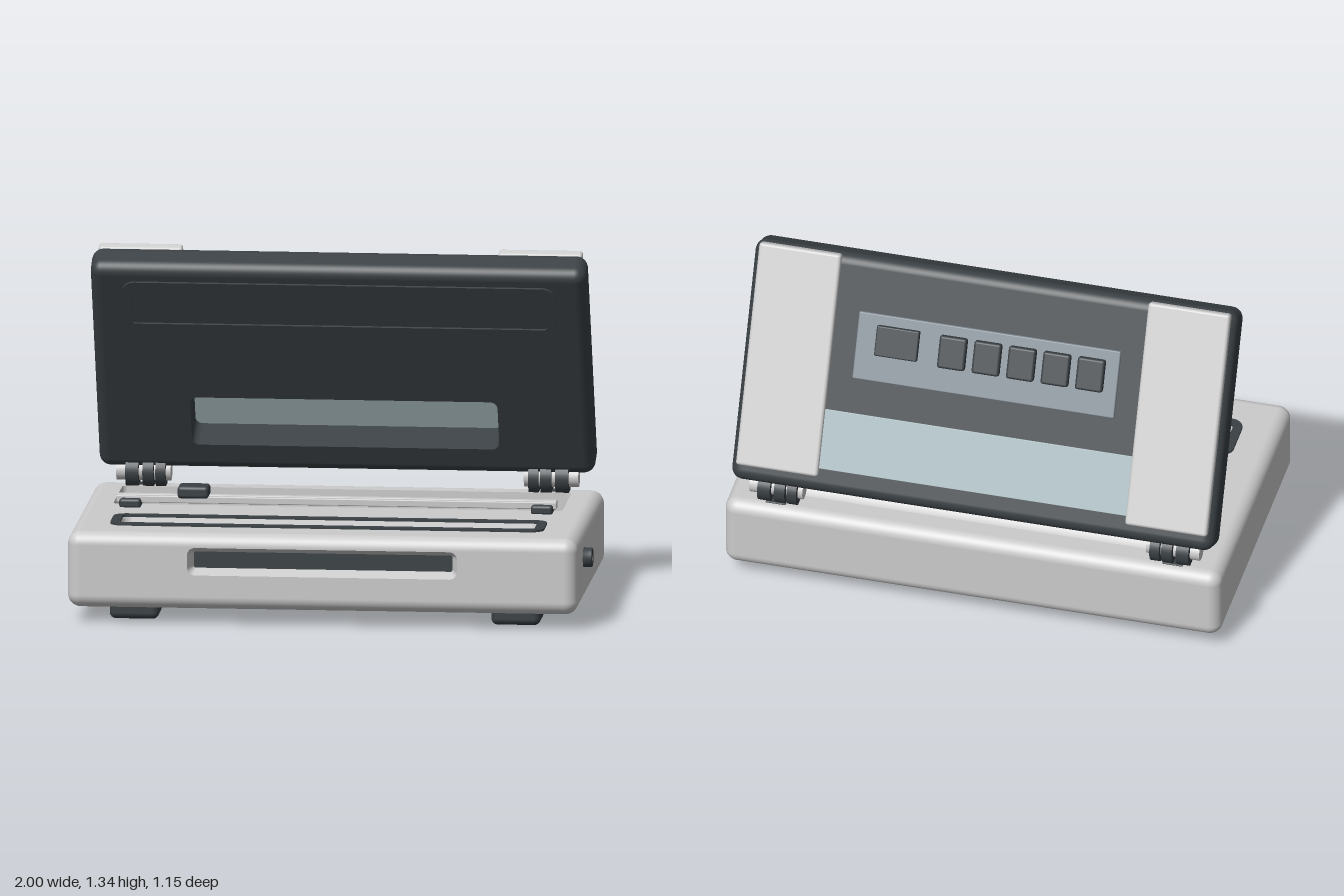
import * as THREE from 'three';
import { RoundedBoxGeometry } from 'three/addons/geometries/RoundedBoxGeometry.js';

const mat = (color) => new THREE.MeshStandardMaterial({ color, side: THREE.DoubleSide });
const grey = mat(0xcccccc);
const dark = mat(0x3a4044);
const glass = mat(0xa8babe);
const panelGrey = mat(0x858f98);

function add(parent, name, geometry, material, x = 0, y = 0, z = 0) {
  const mesh = new THREE.Mesh(geometry, material);
  mesh.name = name;
  mesh.position.set(x, y, z);
  parent.add(mesh);
  return mesh;
}

function group(parent, name) {
  const g = new THREE.Group();
  g.name = name;
  parent.add(g);
  return g;
}

// Rounded block given by its limits
function block(parent, name, material, [x0, x1], [y0, y1], [z0, z1], r = 0.01) {
  const geo = new RoundedBoxGeometry(x1 - x0, y1 - y0, z1 - z0, 3, r);
  return add(parent, name, geo, material, (x0 + x1) / 2, (y0 + y1) / 2, (z0 + z1) / 2);
}

// Rounded rectangle outline, inset by i
function roundRect(Type, [x0, x1], [y0, y1], r, i = 0) {
  const a = x0 + i, b = x1 - i, c = y0 + i, d = y1 - i, q = Math.max(r - i, 0.004);
  const s = new Type();
  s.absarc(b - q, c + q, q, -Math.PI / 2, 0);
  s.absarc(b - q, d - q, q, 0, Math.PI / 2);
  s.absarc(a + q, d - q, q, Math.PI / 2, Math.PI);
  s.absarc(a + q, c + q, q, Math.PI, Math.PI * 1.5);
  s.closePath();
  return s;
}

// Rounded box whose flat +y and/or +z face is left out
function openBox(w, h, d, r, axes) {
  const src = new RoundedBoxGeometry(w, h, d, 5, r);
  const p = src.attributes.position, n = src.attributes.normal;
  const pos = [], nor = [];
  for (let t = 0; t < p.count; t += 3) {
    const ids = [t, t + 1, t + 2];
    const isFlat = (get) => ids.every((k) => n[get](k) > 0.999);
    if ((axes.includes('y') && isFlat('getY')) || (axes.includes('z') && isFlat('getZ'))) continue;
    for (const k of ids) {
      pos.push(p.getX(k), p.getY(k), p.getZ(k));
      nor.push(n.getX(k), n.getY(k), n.getZ(k));
    }
  }
  const g = new THREE.BufferGeometry();
  g.setAttribute('position', new THREE.Float32BufferAttribute(pos, 3));
  g.setAttribute('normal', new THREE.Float32BufferAttribute(nor, 3));
  return g;
}

// Flat plate in xy with recesses sunk towards -z
function recessedFace(parent, name, material, xs, ys, recesses) {
  const g = group(parent, name);
  const face = new THREE.Shape();
  face.moveTo(xs[0], ys[0]).lineTo(xs[1], ys[0]).lineTo(xs[1], ys[1]).lineTo(xs[0], ys[1]).closePath();
  for (const { name: label, x, y, r, depth, taper, floor } of recesses) {
    face.holes.push(roundRect(THREE.Path, x, y, r));
    const top = roundRect(THREE.Shape, x, y, r).getPoints(6);
    const low = roundRect(THREE.Shape, x, y, r, taper).getPoints(6);
    const v = [];
    for (let i = 0; i < top.length; i++) {
      const j = (i + 1) % top.length;
      const A = [top[i].x, top[i].y, 0], B = [top[j].x, top[j].y, 0];
      const C = [low[j].x, low[j].y, -depth], D = [low[i].x, low[i].y, -depth];
      v.push(...A, ...B, ...C, ...A, ...C, ...D);
    }
    const wall = new THREE.BufferGeometry();
    wall.setAttribute('position', new THREE.Float32BufferAttribute(v, 3));
    wall.computeVertexNormals();
    add(g, label + 'Wall', wall, material);
    add(g, label + 'Floor', new THREE.ShapeGeometry(roundRect(THREE.Shape, x, y, r, taper), 6), floor, 0, 0, -depth);
  }
  add(g, name + 'Plate', new THREE.ShapeGeometry(face, 6), material);
  return g;
}

// Flat gasket ring in xy
function gasket(parent, name, xs, ys, width, depth) {
  const s = roundRect(THREE.Shape, xs, ys, 0.05);
  s.holes.push(roundRect(THREE.Path, xs, ys, 0.05, width));
  const geo = new THREE.ExtrudeGeometry(s, { depth, bevelEnabled: false, curveSegments: 6 });
  return add(parent, name, geo, dark);
}

function buildBase(model) {
  const base = group(model, 'base');
  const R = 0.05, W = 0.9825, y0 = 0.06, y1 = 0.355, z0 = -0.57, z1 = 0.575;
  add(base, 'baseShell', openBox(2 * W, y1 - y0, z1 - z0, R, 'yz'), grey, 0, (y0 + y1) / 2, (z0 + z1) / 2);

  // Top deck: roll compartment and sealing channel (shape y = -z)
  const deck = recessedFace(base, 'topDeck', grey, [-W + R, W - R], [-z1 + R, -z0 - R], [
    { name: 'rollCompartment', x: [-0.865, 0.865], y: [0.065, 0.455], r: 0.02, depth: 0.265, taper: 0.005, floor: grey },
    { name: 'vacuumChannel', x: [-0.8, 0.8], y: [-0.372, -0.223], r: 0.035, depth: 0.045, taper: 0.012, floor: grey },
  ]);
  deck.rotation.x = -Math.PI / 2;
  deck.position.y = y1;
  gasket(deck, 'baseGasket', [-0.835, 0.835], [-0.41, -0.185], 0.036, 0.008);

  // Front grip slot
  const front = recessedFace(base, 'frontFace', grey, [-W + R, W - R], [y0 + R, y1 - R], [
    { name: 'gripSlot', x: [-0.52, 0.52], y: [0.195, 0.302], r: 0.03, depth: 0.05, taper: 0.022, floor: dark },
  ]);
  front.position.z = z1;

  // Film roll lying in the compartment
  add(base, 'filmRoll', new THREE.CylinderGeometry(0.105, 0.105, 1.65, 40).rotateZ(Math.PI / 2), grey, 0, 0.2, -0.22);

  // Feet
  for (const s of [-1, 1])
    for (const z of [0.383, -0.383])
      block(base, 'foot', dark, [s * 0.735 - 0.095, s * 0.735 + 0.095], [0, 0.1], [z - 0.082, z + 0.082], 0.025);

  // Hollow port on the model's left side
  const ring = [[0.02, 0], [0.038, 0], [0.038, 0.031], [0.034, 0.035], [0.024, 0.035], [0.02, 0.031], [0.02, 0]];
  const port = new THREE.LatheGeometry(ring.map(([a, b]) => new THREE.Vector2(a, b)), 32).rotateZ(-Math.PI / 2);
  add(base, 'sidePort', port, dark, W, 0.243, 0.303);
}

function buildCutter(model) {
  const cutter = group(model, 'filmCutter');
  block(cutter, 'cutterRail', grey, [-0.848, 0.848], [0.37, 0.397], [-0.056, -0.01], 0.004);
  block(cutter, 'railRidge', grey, [-0.848, 0.848], [0.39, 0.402], [-0.05, -0.018], 0.004);
  for (const s of [-1, 1])
    block(cutter, 'railClip', dark, [s * 0.793 - 0.042, s * 0.793 + 0.042], [0.35, 0.388], [-0.077, 0.015], 0.012);
  block(cutter, 'cutterSlider', dark, [-0.61, -0.49], [0.392, 0.44], [-0.076, 0.018], 0.014);
}

function buildHinges(model) {
  const along = (r, len) => new THREE.CylinderGeometry(r, r, len, 32).rotateZ(Math.PI / 2);
  for (const s of [-1, 1]) {
    const hinge = group(model, 'hinge');
    add(hinge, 'hingePin', along(0.038, 0.21), grey, s * 0.785, 0.411, -0.488);
    for (const [x, len] of [[0.828, 0.05], [0.766, 0.042], [0.718, 0.038]])
      add(hinge, 'hingeKnuckle', along(0.063, len), dark, s * x, 0.411, -0.488);
    block(hinge, 'hingePlate', dark, [s * 0.785 - 0.04, s * 0.785 + 0.04], [0.345, 0.359], [-0.53, -0.475], 0.004);
  }
}

// Lid in its own tilted frame: y runs up the lid, +z is the inner face
function buildLid(model) {
  const lid = group(model, 'lid');
  lid.rotation.x = THREE.MathUtils.degToRad(25);
  const R = 0.045, W = 0.955, y0 = 0.19, y1 = 1.14, inner = -0.585, outer = -0.735;
  add(lid, 'lidShell', openBox(2 * W, y1 - y0, inner - outer, R, 'z'), dark, 0, (y0 + y1) / 2, (inner + outer) / 2);

  // Inner face with viewing window and gasket
  const face = recessedFace(lid, 'innerFace', dark, [-W + R, W - R], [y0 + R, y1 - R], [
    { name: 'window', x: [-0.592, 0.592], y: [0.312, 0.533], r: 0.03, depth: 0.142, taper: 0.002, floor: glass },
  ]);
  face.position.z = inner;
  gasket(face, 'lidGasket', [-0.835, 0.835], [0.845, 1.073], 0.036, 0.009);

  // Outer window pane and side covers
  block(lid, 'windowPane', glass, [-0.61, 0.61], [0.286, 0.522], [-0.739, -0.725], 0.002);
  for (const s of [-1, 1])
    block(lid, 'sideCover', grey, [s * 0.77 - 0.162, s * 0.77 + 0.162], [0.255, 1.135], [-0.757, -0.715], 0.012);

  // Control panel
  const controls = group(lid, 'controlPanel');
  block(controls, 'panel', panelGrey, [-0.52, 0.532 - 0.017], [0.66, 0.925], [-0.748, -0.725], 0.005);
  for (let i = 0; i < 5; i++) {
    const x = -0.413 + i * 0.1365;
    block(controls, 'button', dark, [x - 0.054, x + 0.054], [0.757, 0.885], [-0.772, -0.735], 0.01);
  }
  block(controls, 'display', dark, [0.268, 0.437], [0.765, 0.885], [-0.766, -0.735], 0.006);
}

export function createModel() {
  const root = new THREE.Group();
  root.name = 'vacuumSealer';
  // The side port widens one side only, so the body sits slightly off centre
  const model = group(root, 'body');
  model.position.x = -0.0175;
  buildBase(model);
  buildCutter(model);
  buildHinges(model);
  buildLid(model);
  return root;
}
